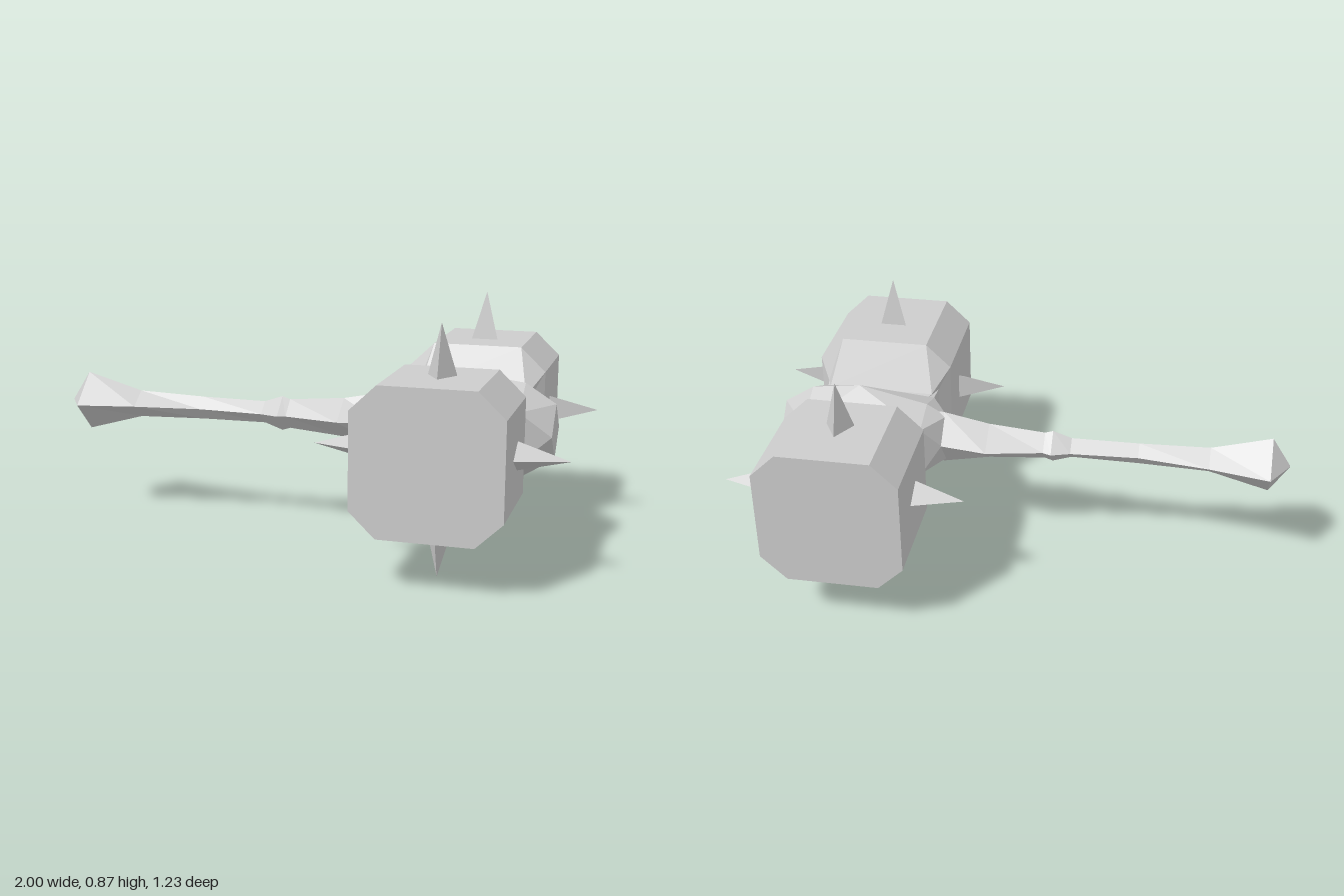
import * as THREE from 'three';
import { ConvexGeometry } from 'three/addons/geometries/ConvexGeometry.js';

const CY = 0.435; // height of the hammer's axis
const CX = 0.56; // centre of the head along the handle

// Skin rings of equal point count, each counter-clockwise about the direction of travel
function loft(rings) {
  const n = rings[0].length;
  const index = [];
  rings.slice(1).forEach((_, r) => {
    for (let i = 0; i < n; i++) {
      const a = r * n + i, b = r * n + (i + 1) % n;
      index.push(a, b, b + n, a, b + n, a + n);
    }
  });
  const end = (rings.length - 1) * n;
  for (let i = 1; i < n - 1; i++) {
    index.push(0, i + 1, i, end, end + i, end + i + 1);
  }
  const indexed = new THREE.BufferGeometry();
  indexed.setAttribute('position', new THREE.Float32BufferAttribute(rings.flat(2), 3));
  indexed.setIndex(index);
  const geometry = indexed.toNonIndexed();
  geometry.computeVertexNormals();
  return geometry;
}

// Chamfered-square ring; side points lie at zSide, top and bottom points at zTop
function octagon(hx, hy, kx, ky, zSide, zTop = zSide) {
  return [
    [hx, -ky, zSide], [hx, ky, zSide], [kx, hy, zTop], [-kx, hy, zTop],
    [-hx, ky, zSide], [-hx, -ky, zSide], [-kx, -hy, zTop], [kx, -hy, zTop],
  ];
}

export function createModel() {
  const steel = new THREE.MeshStandardMaterial({ color: 0xcccccc });
  steel.name = 'pale grey';
  steel.flatShading = true;
  const model = new THREE.Group();
  model.name = 'spikedHammer';

  const add = (parent, geometry, name) => {
    const mesh = new THREE.Mesh(geometry, steel);
    mesh.name = name;
    parent.add(mesh);
    return mesh;
  };

  // Handle with a flared pommel and a small collar: x, half height, half depth
  const profile = [
    [-1, 0.002, 0.002], [-0.93, 0.112, 0.113], [-0.71, 0.051, 0.068], [-0.45, 0.043, 0.034],
    [-0.2, 0.041, 0.046], [-0.13, 0.065, 0.068], [-0.1, 0.055, 0.056], [0.11, 0.073, 0.096],
    [0.28, 0.107, 0.072], [0.45, 0.12, 0.08],
  ];
  const handle = add(model, loft(profile.map(([x, h, d]) =>
    [[x, h, 0], [x, 0, d], [x, -h, 0], [x, 0, -d]])), 'handle');
  handle.position.y = CY;

  // Faceted hub joining the handle to both heads
  const hubPoints = [];
  for (const s of [1, -1]) {
    const ridge = [[0.27, 0.09], [0.345, 0.135], [0.6, 0.193], [0.78, 0.17], [0.89, 0.1]];
    for (const [x, y] of ridge) hubPoints.push(new THREE.Vector3(x, s * y, 0));
    for (const [x, z] of [[0.28, 0.07], [0.89, 0.095]]) hubPoints.push(new THREE.Vector3(x, 0, s * z));
    for (const t of [1, -1]) {
      hubPoints.push(new THREE.Vector3(0.345, s * 0.093, t * 0.122));
      hubPoints.push(new THREE.Vector3(0.78, s * 0.093, t * 0.15));
    }
  }
  add(model, new ConvexGeometry(hubPoints), 'hub').position.y = CY;

  // Two heads, each with a tapered neck, a chamfered block and four spikes
  const headGeometry = loft([
    octagon(0.2, 0.085, 0.17, 0.07, 0.08),
    octagon(0.218, 0.093, 0.2, 0.093, 0.187, 0.145),
    octagon(0.256, 0.256, 0.164, 0.168, 0.233),
    octagon(0.256, 0.256, 0.164, 0.168, 0.617),
  ]);
  // Spike starts on the block surface, one corner facing outward
  const spikeGeometry = new THREE.ConeGeometry(0.057, 0.179, 3).toNonIndexed();
  spikeGeometry.translate(0, 0.256 + 0.179 / 2, 0);
  spikeGeometry.computeVertexNormals();

  ['leftHead', 'rightHead'].forEach((name, side) => {
    const head = new THREE.Group();
    head.name = name;
    head.position.set(CX, CY, 0);
    head.rotation.y = side * Math.PI;
    add(head, headGeometry, 'headBlock');
    for (let i = 0; i < 4; i++) {
      const spike = add(head, spikeGeometry, 'spike');
      spike.position.z = 0.41;
      spike.rotation.z = i * Math.PI / 2;
    }
    model.add(head);
  });

  return model;
}
